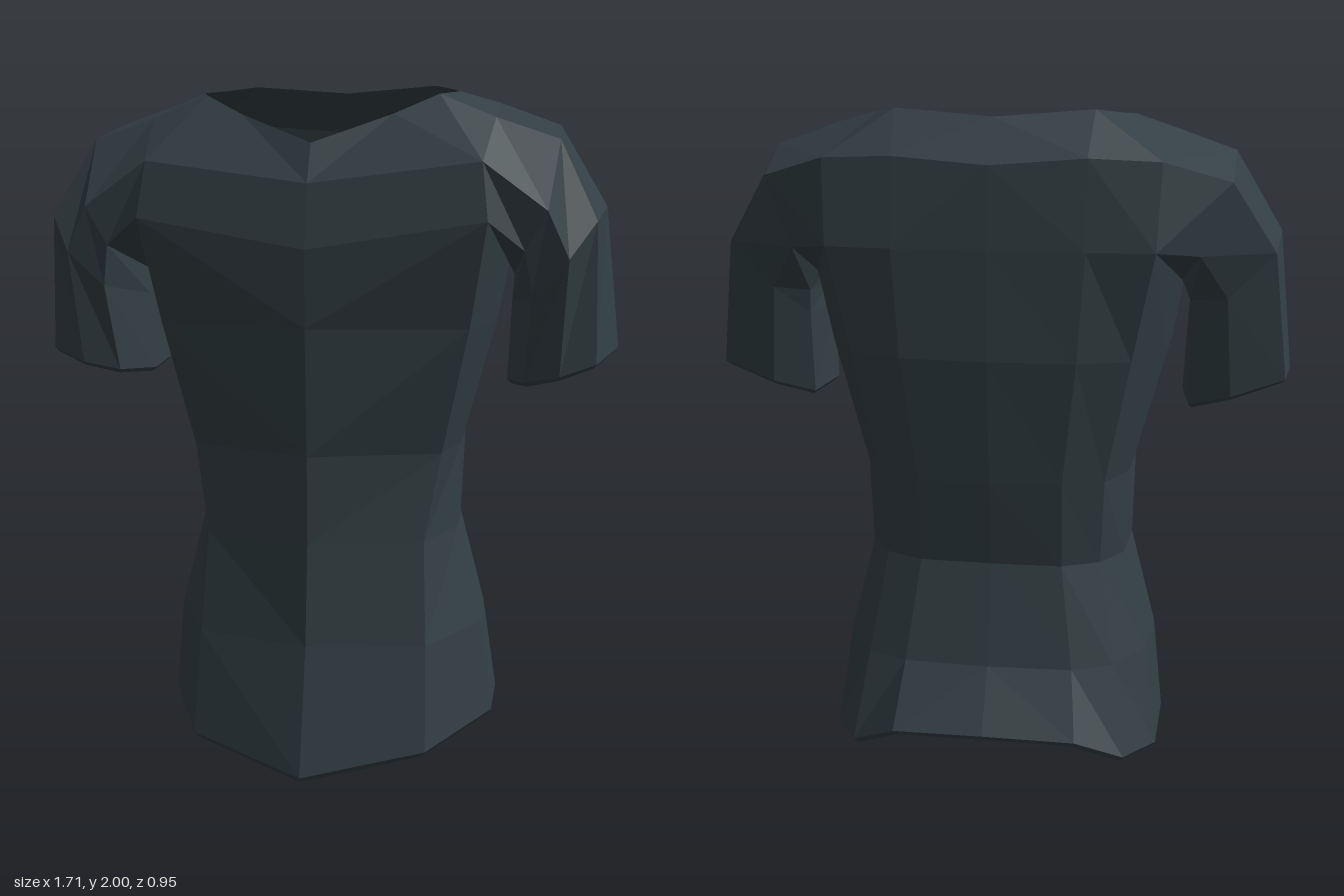
import * as THREE from 'three';

// Faceted mesh from strips of quads between matching point rows (lower, upper);
// optionally mirrored across x = 0, keeping or dropping the +x half.
function buildMesh(name, strips, sides, material) {
  const pos = [];
  const tri = (a, b, c) => {
    if (sides.includes(1)) pos.push(...a, ...b, ...c);
    if (sides.includes(-1)) {
      for (const p of [a, c, b]) pos.push(-p[0], p[1], p[2]);
    }
  };
  for (const [lower, upper] of strips) {
    for (let i = 0; i < lower.length - 1; i++) {
      tri(lower[i], lower[i + 1], upper[i + 1]);
      tri(lower[i], upper[i + 1], upper[i]);
    }
  }
  const geo = new THREE.BufferGeometry();
  geo.setAttribute('position', new THREE.Float32BufferAttribute(pos, 3));
  geo.computeVertexNormals();
  const mesh = new THREE.Mesh(geo, material);
  mesh.name = name;
  return mesh;
}

// Ring at a constant height from [x, z] pairs
const level = (y, pts) => pts.map(([x, z]) => [x, y, z]);
const close = (ring) => [...ring, ring[0]];
// Inner edge of a hem, pulled toward a centre point
const lip = (ring, cx, cz, s, dy) =>
  ring.map(([x, y, z]) => [cx + (x - cx) * s, y + dy, cz + (z - cz) * s]);

export function createModel() {
  const group = new THREE.Group();
  group.name = 'shirt';
  const cloth = new THREE.MeshStandardMaterial({
    color: 0x333f44, flatShading: true, side: THREE.DoubleSide,
  });

  // Arm opening: front chest, over the shoulder, back chest, armpit
  const arm = [
    [0.50, 1.62, 0.345], [0.48, 1.78, 0.315], [0.50, 1.90, 0.17], [0.49, 1.945, -0.04],
    [0.47, 1.87, -0.29], [0.46, 1.63, -0.33], [0.53, 1.53, -0.15], [0.54, 1.53, 0.10],
  ];

  // Half torso rings, front centre round to back centre
  const hem = [
    [0, 0.02, 0.475], [0.35, 0.085, 0.365], [0.51, 0.10, 0.04], [0.50, 0.09, -0.20],
    [0.41, 0.13, -0.38], [0.27, 0.21, -0.46], [0, 0.22, -0.475],
  ];
  const hemInner = lip(hem, 0, 0, 0.97, -0.018);
  const chestFront = [0, 1.54, 0.387];
  const chestBack = [[0.27, 1.63, -0.345], [0, 1.63, -0.35]];
  const torso = [
    hemInner,
    hem,
    level(0.39, [[0, 0.39], [0.34, 0.31], [0.478, 0.05], [0.46, -0.16], [0.37, -0.30], [0.25, -0.35], [0, -0.36]]),
    level(0.69, [[0, 0.36], [0.325, 0.265], [0.40, 0.05], [0.385, -0.135], [0.32, -0.23], [0.21, -0.28], [0, -0.285]]),
    level(0.95, [[0, 0.365], [0.37, 0.235], [0.405, 0.05], [0.395, -0.135], [0.33, -0.26], [0.21, -0.31], [0, -0.32]]),
    level(1.32, [[0, 0.385], [0.45, 0.29], [0.505, 0.06], [0.49, -0.14], [0.40, -0.30], [0.25, -0.345], [0, -0.355]]),
    [chestFront, arm[0], arm[7], arm[6], arm[5], ...chestBack],
  ];

  // Yoke and neckline
  const yokeFront = [0, 1.72, 0.352];
  const yokeBack = [[0.27, 1.88, -0.32], [0, 1.86, -0.335]];
  const yoke = [yokeFront, ...arm.slice(1, 5), ...yokeBack];
  const neck = [
    [0, 1.83, 0.30], [0.22, 1.91, 0.22], [0.34, 1.965, 0.16], [0.38, 1.975, 0.04],
    [0.35, 1.985, -0.09], [0.28, 2.0, -0.19], [0, 1.98, -0.225],
  ];
  const bodyStrips = torso.slice(1).map((ring, i) => [torso[i], ring]);
  bodyStrips.push(
    [[chestFront, arm[0]], [yokeFront, arm[1]]],
    [[arm[5], ...chestBack], [arm[4], ...yokeBack]],
    [yoke, neck],
  );
  group.add(buildMesh('body', bodyStrips, [1, -1], cloth));

  // Sleeve rings from the shoulder to the cuff
  const cuff = [
    [0.60, 1.165, 0.24], [0.70, 1.19, 0.275], [0.80, 1.225, 0.25], [0.855, 1.245, 0.02],
    [0.835, 1.24, -0.125], [0.68, 1.19, -0.15], [0.56, 1.155, -0.12], [0.54, 1.15, 0.09],
  ];
  const sleeve = [
    arm,
    [[0.60, 1.54, 0.32], [0.66, 1.65, 0.33], [0.68, 1.84, 0.17], [0.67, 1.88, -0.02],
      [0.66, 1.81, -0.21], [0.58, 1.61, -0.24], [0.555, 1.47, -0.15], [0.555, 1.46, 0.10]],
    [[0.62, 1.42, 0.30], [0.72, 1.52, 0.325], [0.79, 1.62, 0.25], [0.81, 1.65, 0.02],
      [0.79, 1.61, -0.15], [0.66, 1.48, -0.17], [0.56, 1.40, -0.14], [0.55, 1.38, 0.10]],
    cuff,
    lip(cuff, 0.69, 0.06, 0.93, -0.012),
  ].map(close);
  const sleeveStrips = sleeve.slice(1).map((ring, i) => [ring, sleeve[i]]);
  group.add(buildMesh('leftSleeve', sleeveStrips, [1], cloth));
  group.add(buildMesh('rightSleeve', sleeveStrips, [-1], cloth));

  return group;
}
